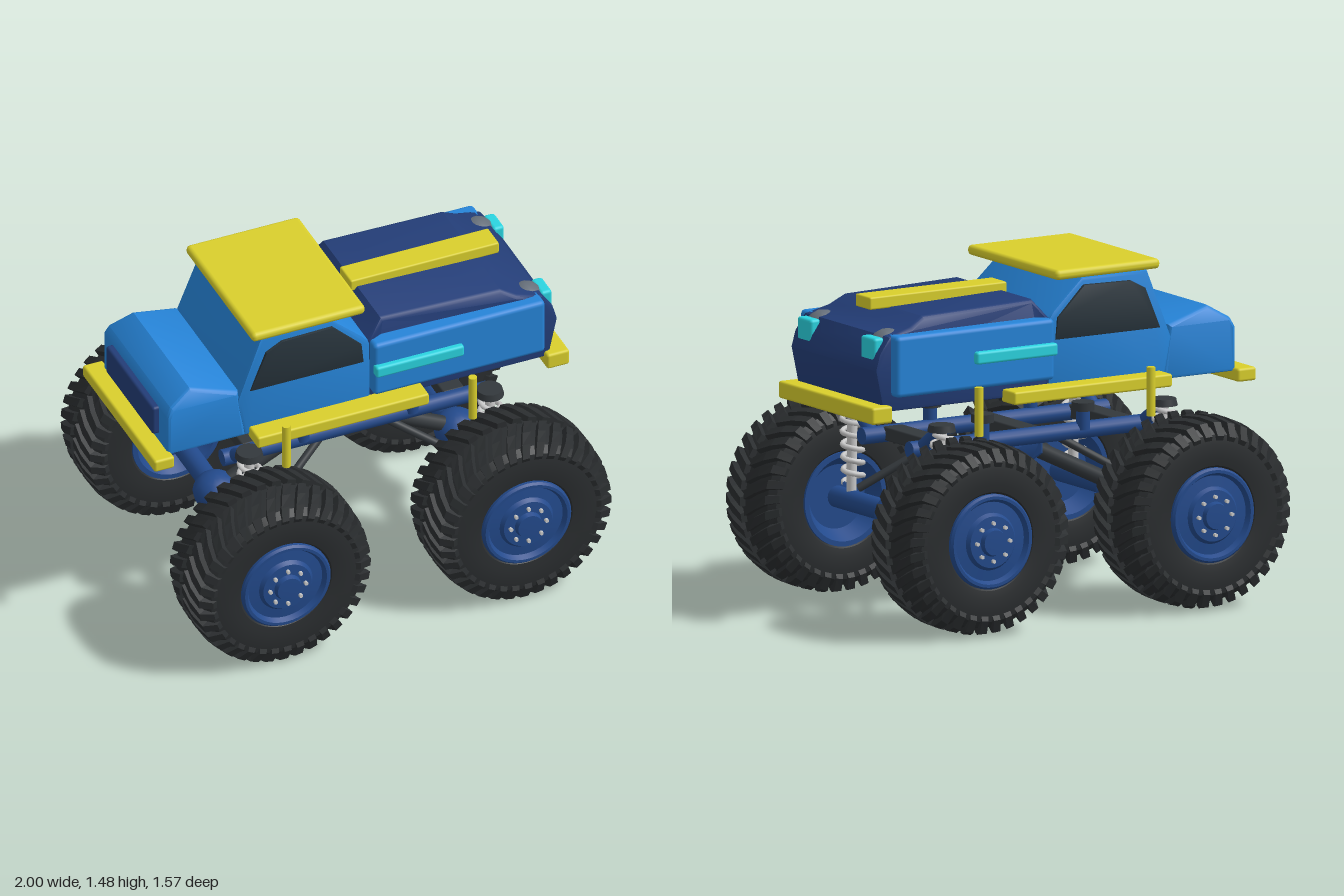
import * as THREE from 'three';
import { toCreasedNormals, mergeVertices } from 'three/addons/utils/BufferGeometryUtils.js';
import { RoundedBoxGeometry } from 'three/addons/geometries/RoundedBoxGeometry.js';

const paint = (color) => new THREE.MeshStandardMaterial({ color });
const MAT = {
  blue: paint(0x2684d8), navy: paint(0x233d77), steel: paint(0x234a8c), yellow: paint(0xd9cf2c),
  cyan: paint(0x2ad4e0), tyre: paint(0x2a2d2f), dark: paint(0x33383c), glass: paint(0x26323a),
  pod: paint(0x666f7a), grey: paint(0xcccccc),
};
const V = (x, y, z) => new THREE.Vector3(x, y, z);
const AXLES = [-0.545, 0.58];
const WHEEL_Y = 0.42, WHEEL_Z = 0.58;

function add(parent, name, geo, mat, x = 0, y = 0, z = 0) {
  const m = new THREE.Mesh(geo, mat);
  m.name = name;
  m.position.set(x, y, z);
  parent.add(m);
  return m;
}

// Rounded box given by its extents
function box(parent, name, mat, [x0, x1], [y0, y1], [z0, z1], r = 0.008) {
  const geo = new RoundedBoxGeometry(x1 - x0, y1 - y0, z1 - z0, 2, r);
  return add(parent, name, geo, mat, (x0 + x1) / 2, (y0 + y1) / 2, (z0 + z1) / 2);
}

// Round bar between two points
function rod(parent, name, mat, a, b, r, r2 = r, sides = 14) {
  const m = add(parent, name, new THREE.CylinderGeometry(r2, r, a.distanceTo(b), sides), mat);
  m.position.copy(a).lerp(b, 0.5);
  m.quaternion.setFromUnitVectors(V(0, 1, 0), b.clone().sub(a).normalize());
  return m;
}

// Side profile extruded across the body; narrow(y) scales its width
function slab(parent, name, mat, pts, half, bevel, narrow = () => 1) {
  const shape = new THREE.Shape(pts.map(([x, y]) => new THREE.Vector2(x, y)));
  const geo = new THREE.ExtrudeGeometry(shape, {
    depth: 2 * (half - bevel), bevelEnabled: bevel > 0, bevelSize: bevel, bevelThickness: bevel,
    bevelOffset: -bevel, bevelSegments: 2,
  });
  geo.translate(0, 0, bevel - half);
  const p = geo.attributes.position;
  for (let i = 0; i < p.count; i++) p.setZ(i, p.getZ(i) * narrow(p.getY(i)));
  geo.computeVertexNormals();
  return add(parent, name, toCreasedNormals(geo, 0.6), mat);
}

function lathe(pts, segs) {
  const geo = new THREE.LatheGeometry(pts.map(([r, z]) => new THREE.Vector2(r, z)), segs);
  geo.rotateX(Math.PI / 2);
  return toCreasedNormals(geo, 0.5);
}

// Chevron lugs: each runs from the centre groove over the shoulder
function treadGeometry(count) {
  const path = [[0.014, 0.42, 0], [0.09, 0.417, 0.09], [0.155, 0.402, 0.165], [0.18, 0.345, 0.19]];
  const pos = [];
  for (const s of [1, -1]) {
    for (let n = 0; n < count; n++) {
      const a0 = ((n + (s > 0 ? 0 : 0.5)) / count) * Math.PI * 2;
      const rings = path.map(([u, r, a]) => {
        const pt = (w, uu, rr) => [rr * Math.cos(a0 + a + w), rr * Math.sin(a0 + a + w), s * uu];
        return [pt(-0.064, u * 0.9, r - 0.04), pt(-0.047, u, r), pt(0.047, u, r), pt(0.064, u * 0.9, r - 0.04)];
      });
      const quad = (a, b, c, d) => {
        const q = s > 0 ? [a, b, c, a, c, d] : [a, c, b, a, d, c];
        q.forEach((v) => pos.push(...v));
      };
      for (let i = 0; i < 3; i++)
        for (let k = 0; k < 3; k++)
          quad(rings[i][k], rings[i][k + 1], rings[i + 1][k + 1], rings[i + 1][k]);
      quad(rings[0][3], rings[0][2], rings[0][1], rings[0][0]);
      quad(...rings[3]);
    }
  }
  const geo = new THREE.BufferGeometry();
  geo.setAttribute('position', new THREE.Float32BufferAttribute(pos, 3));
  geo.computeVertexNormals();
  return geo;
}

function buildWheels(root) {
  const carcass = lathe([[0.2, -0.15], [0.215, -0.168], [0.25, -0.174], [0.31, -0.174], [0.35, -0.166],
    [0.378, -0.14], [0.39, -0.08], [0.392, 0], [0.39, 0.08], [0.378, 0.14], [0.35, 0.166],
    [0.31, 0.174], [0.25, 0.174], [0.215, 0.168], [0.2, 0.15]], 64);
  const tread = treadGeometry(36);
  const rim = lathe([[0, -0.1], [0.14, -0.1], [0.185, -0.17], [0.207, -0.17], [0.207, 0.172], [0.198, 0.182],
    [0.185, 0.182], [0.172, 0.16], [0.125, 0.165], [0.112, 0.182], [0.062, 0.184], [0.055, 0.205], [0, 0.207]], 48);
  const nut = new THREE.CylinderGeometry(0.009, 0.009, 0.02, 6).rotateX(Math.PI / 2);
  for (const x of AXLES) for (const s of [1, -1]) {
    const wheel = new THREE.Group();
    wheel.name = 'wheel';
    wheel.position.set(x, WHEEL_Y, s * WHEEL_Z);
    add(wheel, 'tyre', carcass, MAT.tyre);
    add(wheel, 'tread', tread, MAT.tyre);
    add(wheel, 'rim', rim, MAT.steel).rotation.y = s > 0 ? 0 : Math.PI;
    for (let i = 0; i < 8; i++) {
      const a = (i / 8) * Math.PI * 2;
      add(wheel, 'wheelNut', nut, MAT.grey, 0.083 * Math.cos(a), 0.083 * Math.sin(a), s * 0.188);
    }
    root.add(wheel);
  }
}

function springGeometry(height, turns, r) {
  const pts = [];
  for (let i = 0; i <= turns * 12; i++) {
    const a = (i / 12) * Math.PI * 2;
    pts.push(V(r * Math.cos(a), (i / (turns * 12) - 0.5) * height, r * Math.sin(a)));
  }
  return new THREE.TubeGeometry(new THREE.CatmullRomCurve3(pts), turns * 16, 0.012, 6);
}

function buildChassis(root) {
  const g = new THREE.Group();
  g.name = 'chassis';
  const spring = springGeometry(0.33, 6, 0.044);
  // Gearbox and cross bars
  slab(g, 'gearbox', MAT.steel, [[-0.06, 0.595], [0.11, 0.595], [0.145, 0.63], [0.145, 0.715], [-0.1, 0.715], [-0.1, 0.63]],
    0.1, 0.012, (y) => (y < 0.62 ? 0.75 : 1));
  for (const x of [-0.45, 0.02, 0.49]) box(g, 'crossBar', MAT.dark, [x - 0.05, x + 0.05], [0.71, 0.77], [-0.18, 0.18]);
  for (const s of [1, -1]) {
    rod(g, 'frameRail', MAT.steel, V(-0.6, 0.735, s * 0.19), V(0.64, 0.735, s * 0.19), 0.037);
    // Body mounts
    for (const x of [-0.23, 0.28]) {
      rod(g, 'bodyMount', MAT.steel, V(x, 0.74, s * 0.21), V(x, 0.83, s * 0.21), 0.03);
      rod(g, 'mountPad', MAT.dark, V(x, 0.825, s * 0.21), V(x, 0.862, s * 0.21), 0.05);
    }
  }
  AXLES.forEach((x, i) => {
    const d = i ? 1 : -1;
    rod(g, 'axle', MAT.steel, V(x, WHEEL_Y, -0.5), V(x, WHEEL_Y, 0.5), 0.047, 0.047, 20);
    const diff = add(g, 'differential', new THREE.SphereGeometry(0.1, 14, 10), MAT.steel, x, WHEEL_Y, 0);
    diff.scale.y = 0.88;
    rod(g, 'driveShaft', MAT.dark, V(0.02 + d * 0.09, 0.66, 0), V(x - d * 0.04, 0.45, 0), 0.035);
    for (const s of [1, -1]) {
      rod(g, 'shockArm', MAT.steel, V(x, 0.735, s * 0.19), V(x, 0.83, s * 0.32), 0.032, 0.026);
      rod(g, 'shockCap', MAT.dark, V(x, 0.838, s * 0.355), V(x, 0.868, s * 0.355), 0.062, 0.055, 20);
      rod(g, 'shock', MAT.grey, V(x, 0.44, s * 0.365), V(x, 0.85, s * 0.355), 0.022);
      const coil = add(g, 'spring', spring, MAT.grey, x, 0.665, s * 0.355);
      coil.rotation.x = s * 0.04;
      rod(g, 'suspensionLink', MAT.dark, V(0.02 + d * 0.15, 0.71, s * 0.18), V(x - d * 0.03, 0.47, s * 0.36), 0.018);
    }
  });
  root.add(g);
}

function buildBody(root) {
  const g = new THREE.Group();
  g.name = 'body';
  // Cab, boot and bonnet
  slab(g, 'cab', MAT.blue, [[-0.56, 0.945], [0.03, 0.945], [0.03, 1.26], [0, 1.3], [-0.145, 1.43], [-0.48, 1.43], [-0.595, 1.13]],
    0.345, 0.015, (y) => 1 - 0.03 * Math.max(0, (y - 1.1) / 0.33));
  slab(g, 'boot', MAT.blue, [[-0.92, 0.945], [-0.555, 0.945], [-0.585, 1.18], [-0.8, 1.24], [-0.9, 1.18], [-0.92, 1.14]],
    0.345, 0.015, (y) => 1 - 0.12 * Math.max(0, (y - 1.16) / 0.08));
  box(g, 'tailPanel', MAT.navy, [-0.95, -0.9], [1.0, 1.14], [-0.25, 0.25], 0.012);
  slab(g, 'bonnet', MAT.navy, [[0.02, 0.945], [0.865, 0.945], [0.905, 1.13], [0.885, 1.2], [0.835, 1.27], [0.72, 1.3], [0.65, 1.34],
    [0.09, 1.355], [0.02, 1.27]], 0.342, 0.015, (y) => 1 - 0.1 * Math.max(0, (y - 1.27) / 0.085));
  box(g, 'bonnetStripe', MAT.yellow, [0.06, 0.755], [1.335, 1.39], [-0.06, 0.06]);
  box(g, 'roofPanel', MAT.yellow, [-0.53, 0], [1.433, 1.478], [-0.36, 0.36], 0.02);
  // Bumpers
  box(g, 'frontBumper', MAT.yellow, [0.84, 0.945], [0.903, 0.978], [-0.378, 0.378], 0.012);
  box(g, 'rearBumper', MAT.yellow, [-1, -0.905], [0.903, 0.962], [-0.385, 0.385], 0.012);

  const windowPts = [[-0.535, 1.175], [-0.005, 1.175], [-0.015, 1.27], [-0.15, 1.4], [-0.385, 1.395], [-0.46, 1.355]];
  // One wide slab makes both side windows
  slab(g, 'sideWindows', MAT.glass, windowPts, 0.349, 0.004);
  for (const s of [1, -1]) {
    const side = (a, b) => (s > 0 ? [a, b] : [-b, -a]);
    box(g, 'frontFender', MAT.blue, [0.025, 0.828], [1.01, 1.277], side(0.29, 0.39), 0.02);
    box(g, 'sideLightBar', MAT.cyan, [0.025, 0.437], [1.12, 1.175], side(0.37, 0.416), 0.012);
    box(g, 'sideRail', MAT.yellow, [-0.54, 0.262], [0.93, 0.987], side(0.33, 0.438), 0.01);
    for (const x of [-0.416, 0.456]) rod(g, 'sidePost', MAT.yellow, V(x, 0.82, s * 0.458), V(x, 1.033, s * 0.458), 0.019);
    // Headlights
    const pod = add(g, 'headlightPod', new THREE.SphereGeometry(0.08, 10, 8), MAT.pod, 0.79, 1.222, s * 0.255);
    pod.scale.set(1, 0.88, 1);
    box(g, 'headlightLens', MAT.cyan, [0.84, 0.893], [1.158, 1.265], side(0.196, 0.31), 0.014);
  }
  root.add(g);
}

export function createModel() {
  const model = new THREE.Group();
  model.name = 'monsterTruck';
  buildWheels(model);
  buildChassis(model);
  buildBody(model);
  return model;
}
